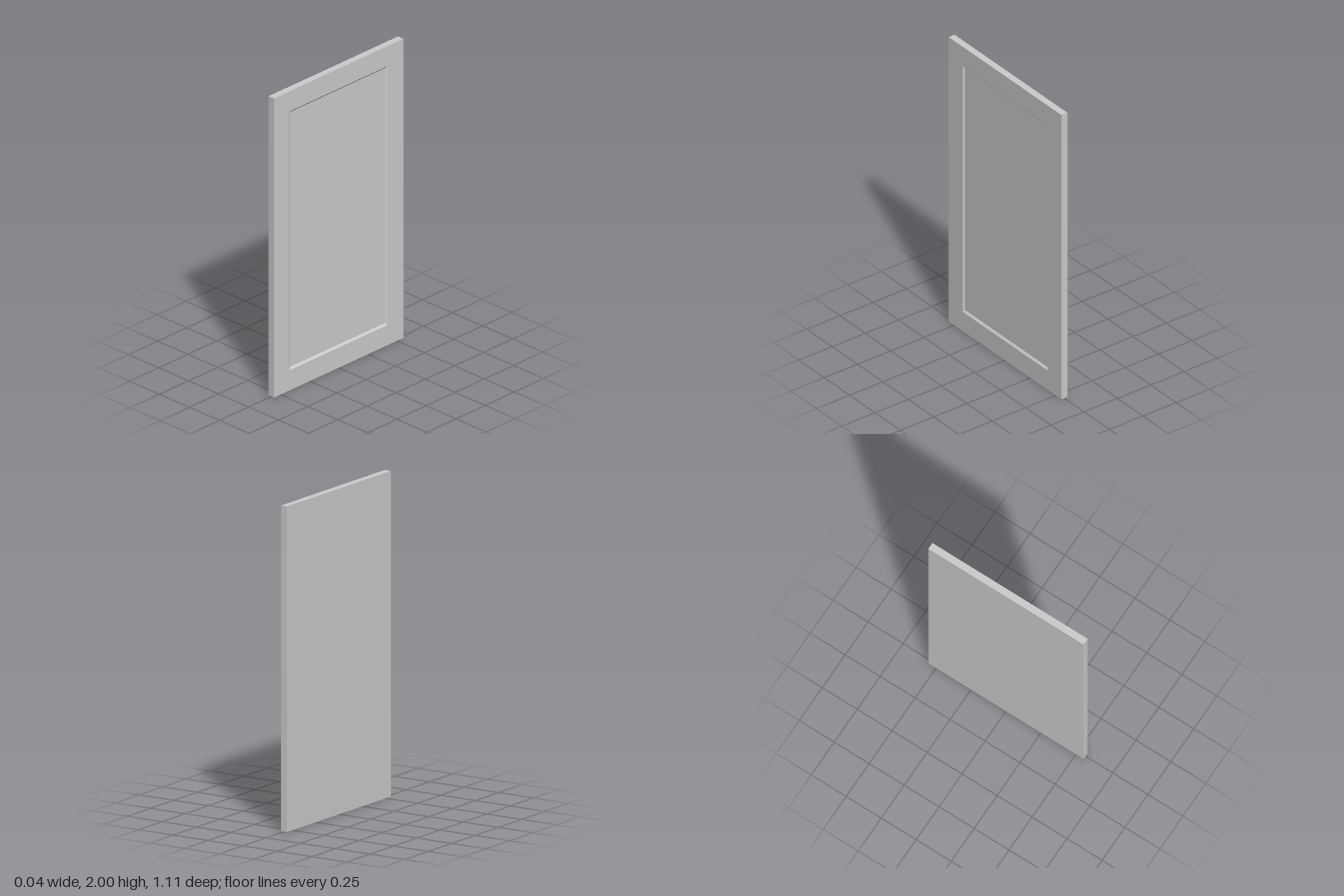
import * as THREE from 'three';

const HEIGHT = 2, WIDTH = 1.11, HALF = 0.022; // door leaf, HALF = half thickness
const BORDER = 0.135, BEVEL = 0.013, DEPTH = 0.011; // recess on the +x face

const material = new THREE.MeshStandardMaterial({ color: 0xcccccc, flatShading: true });

// Corners of an upright rectangle at x, inset from the leaf's outline
function rectangle(x, inset) {
  const h = HEIGHT / 2 - inset, w = WIDTH / 2 - inset;
  return [[1, 1], [-1, 1], [-1, -1], [1, -1]].map(([sy, sz]) => [x, HEIGHT / 2 + sy * h, sz * w]);
}

// Band of flat quads joining successive rectangles
function band(name, ...loops) {
  const positions = [];
  for (let k = 0; k + 1 < loops.length; k++) {
    const a = loops[k], b = loops[k + 1];
    for (let i = 0; i < 4; i++) {
      const j = (i + 1) % 4;
      for (const p of [a[i], a[j], b[j], a[i], b[j], b[i]]) positions.push(...p);
    }
  }
  const geometry = new THREE.BufferGeometry();
  geometry.setAttribute('position', new THREE.Float32BufferAttribute(positions, 3));
  geometry.computeVertexNormals();
  const mesh = new THREE.Mesh(geometry, material);
  mesh.name = name;
  return mesh;
}

// Flat sheet facing +x (side 1) or -x (side -1)
function sheet(name, x, inset, side) {
  const geometry = new THREE.PlaneGeometry(WIDTH - 2 * inset, HEIGHT - 2 * inset);
  geometry.rotateY(side * Math.PI / 2).translate(x, HEIGHT / 2, 0);
  const mesh = new THREE.Mesh(geometry, material);
  mesh.name = name;
  return mesh;
}

export function createModel() {
  const door = new THREE.Group();
  door.name = 'cabinetDoor';
  const opening = rectangle(HALF, BORDER);
  door.add(
    // outer edges and the flat border around the recess
    band('frame', rectangle(-HALF, 0), rectangle(HALF, 0), opening),
    // sloped moulding down to the panel
    band('bevel', opening, rectangle(HALF - DEPTH, BORDER + BEVEL)),
    sheet('recessedPanel', HALF - DEPTH, BORDER + BEVEL, 1),
    sheet('back', -HALF, 0, -1)
  );
  return door;
}
